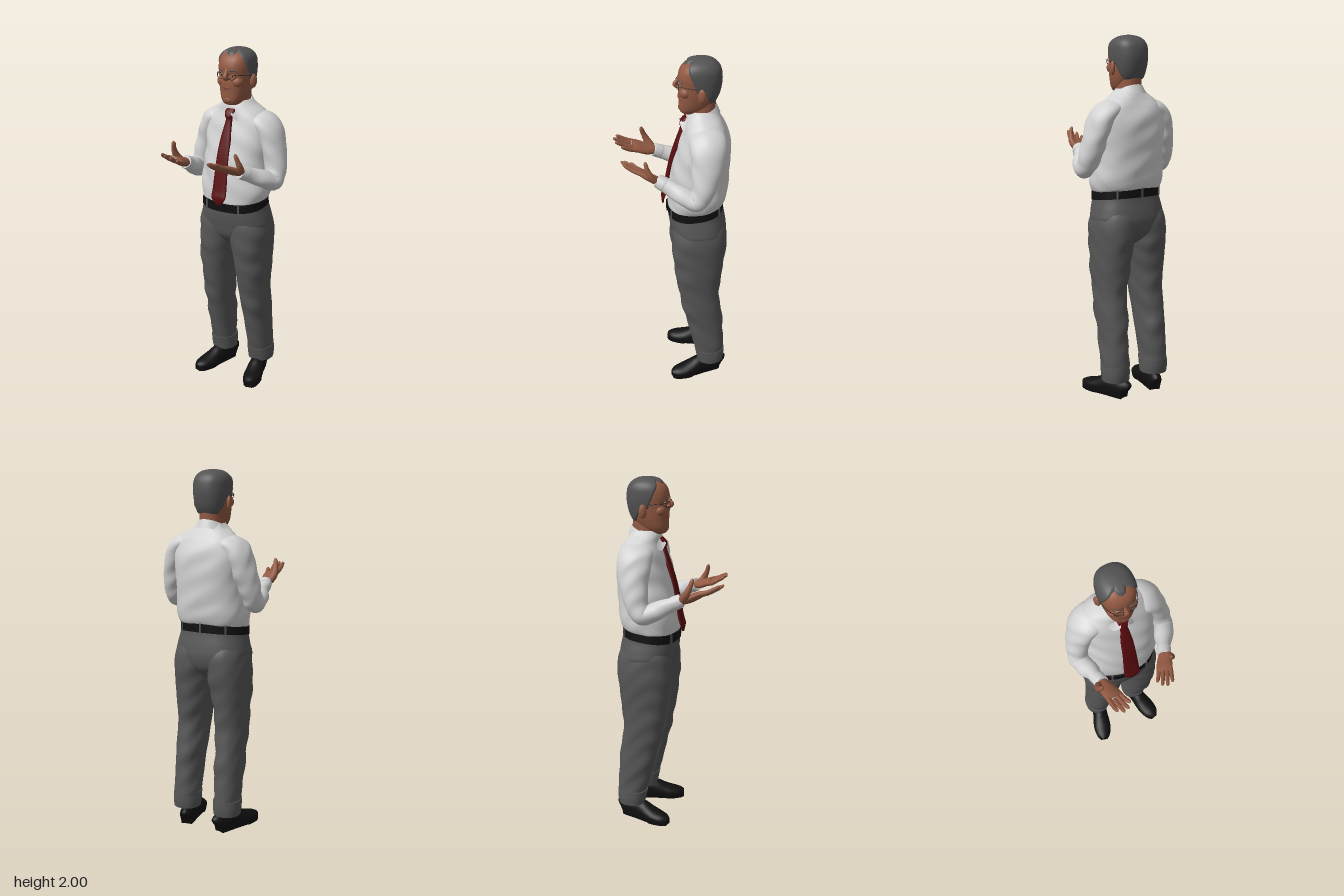
import * as THREE from 'three';

const mat = (name, color) => {
  const m = new THREE.MeshStandardMaterial({ color });
  m.name = name;
  return m;
};
const skin = mat('skin', 0x935a43), lipTone = mat('lips', 0x7a4437), white = mat('shirt white', 0xd2d2d2);
const grey = mat('trouser grey', 0x565656), hairGrey = mat('hair grey', 0x535353), red = mat('tie red', 0x590b0e);
const black = mat('leather black', 0x101010), frame = mat('glasses frame', 0x2a2320);
const eyeWhite = mat('eye white', 0x9c8d82), silver = mat('silver', 0xb4b4b4);
white.side = THREE.DoubleSide; // the collar is open cloth
const CX = -0.008; // the body's centre line

function add(parent, name, geometry, material, pos = [0, 0, 0], scale = [1, 1, 1]) {
  const m = new THREE.Mesh(geometry, material);
  m.name = name;
  m.position.set(...pos);
  m.scale.set(...scale);
  parent.add(m);
  return m;
}

// Catmull-Rom through rows of numbers, k steps per span
function smooth(rows, k) {
  const out = [], at = i => rows[Math.max(0, Math.min(rows.length - 1, i))];
  for (let i = 0; i < rows.length - 1; i++) for (let s = 0; s < k; s++) {
    const t = s / k;
    out.push(rows[i].map((b, n) => {
      const a = at(i - 1)[n], c = at(i + 1)[n], d = at(i + 2)[n];
      return b + 0.5 * t * (c - a + t * (2 * a - 5 * b + 4 * c - d + t * (3 * (b - c) + d - a)));
    }));
  }
  out.push(rows[rows.length - 1]);
  return out;
}

// Skin closed rings of points and cap both ends
function loft(rings, shape) {
  const n = rings[0].length, pos = [], idx = [];
  if (shape) rings.forEach(r => r.forEach(shape));
  const push = r => r.forEach(p => pos.push(p.x, p.y, p.z));
  rings.forEach(push);
  for (let j = 0; j < rings.length - 1; j++) for (let i = 0; i < n; i++) {
    const a = j * n + i, b = j * n + (i + 1) % n;
    idx.push(a, b, b + n, a, b + n, a + n);
  }
  [rings[0], rings[rings.length - 1]].forEach((r, end) => {
    const base = pos.length / 3;
    push(r);
    push([r.reduce((s, p) => s.add(p), new THREE.Vector3()).divideScalar(n)]);
    for (let i = 0; i < n; i++) {
      const a = base + i, b = base + (i + 1) % n;
      idx.push(base + n, end ? a : b, end ? b : a);
    }
  });
  const g = new THREE.BufferGeometry();
  g.setAttribute('position', new THREE.Float32BufferAttribute(pos, 3));
  g.setIndex(idx);
  g.computeVertexNormals();
  return g;
}

// Level sections, bottom to top: [y, xMin, xMax, zBack, zFront]
function stack(rows, { power = 2.2, seg = 40, k = 5, shape } = {}) {
  const bend = v => Math.sign(v) * Math.abs(v) ** (2 / power);
  return loft(smooth(rows, k).map(([y, x0, x1, z0, z1]) => Array.from({ length: seg }, (_, i) => {
    const a = i / seg * Math.PI * 2;
    return new THREE.Vector3((x0 + x1) / 2 + (x1 - x0) / 2 * bend(Math.sin(a)), y,
      (z0 + z1) / 2 + (z1 - z0) / 2 * bend(Math.cos(a)));
  })), shape);
}

// Oval tube along a path: [x, y, z, half width, half thickness]
function limb(rows, { hint = [1, 0, 0], seg = 16, k = 4, shape } = {}) {
  const pts = smooth(rows.map(r => [r[0], r[1], r[2], r[3], r[4] ?? r[3]]), k);
  const v = i => new THREE.Vector3(...pts[Math.max(0, Math.min(pts.length - 1, i))].slice(0, 3));
  return loft(pts.map((p, j) => {
    const T = v(j + 1).sub(v(j - 1)).normalize(), S = new THREE.Vector3(...hint);
    S.addScaledVector(T, -S.dot(T)).normalize();
    const N = T.clone().cross(S);
    return Array.from({ length: seg }, (_, i) => {
      const a = i / seg * Math.PI * 2;
      return v(j).addScaledVector(S, Math.cos(a) * p[3]).addScaledVector(N, Math.sin(a) * p[4]);
    });
  }), shape);
}

// Soft cloth folds
const folds = amp => p => {
  const f = Math.sin(p.y * 38 + p.x * 23 + 2 * Math.sin(p.z * 17)) * Math.sin(p.y * 13 - p.z * 21);
  p.x += amp * f * Math.sign(p.x);
  p.z += amp * f;
};
// The waistline drops towards the front
const tilt = (p, amount = 1) => { p.y -= 0.117 * (p.z + 0.13) * THREE.MathUtils.clamp(amount, 0, 1); };

const headRows = [[1.695, -.04, .024, -.13, -.06], [1.705, -.056, .04, -.155, -.045], [1.73, -.073, .057, -.19, -.037],
  [1.77, -.086, .07, -.225, -.036], [1.81, -.093, .077, -.245, -.034], [1.86, -.098, .082, -.256, -.036],
  [1.9, -.1, .084, -.258, -.032], [1.94, -.097, .081, -.252, -.043], [1.968, -.082, .066, -.233, -.067],
  [1.986, -.054, .038, -.203, -.1], [1.993, -.018, .002, -.165, -.14]];

// Hairline height by angle from the front, in radians
const hairline = [[0, 1.964], [.2, 1.968], [.45, 1.981], [.65, 1.976], [.9, 1.935], [1.1, 1.89], [1.3, 1.835], [1.5, 1.835],
  [1.7, 1.85], [1.95, 1.8], [2.3, 1.765], [3.2, 1.755]];
function hairShape(p) {
  const a = Math.abs(Math.atan2(p.x - CX, p.z + .15));
  const i = hairline.findIndex(h => h[0] > a), [a0, y0] = hairline[i - 1], [a1, y1] = hairline[i];
  const h = y0 + (y1 - y0) * (a - a0) / (a1 - a0);
  const d = THREE.MathUtils.clamp((p.y - h) / .01, -1, 1) * .007;
  p.add(new THREE.Vector3(p.x - CX, p.y - 1.87, p.z + .15).normalize().multiplyScalar(d));
}

function makeHead() {
  const g = new THREE.Group();
  g.name = 'head';
  const ball = new THREE.SphereGeometry(1, 20, 14);
  add(g, 'face', stack(headRows, { seg: 64, power: 2.4 }), skin);
  add(g, 'hair', stack(headRows, { seg: 96, k: 9, power: 2.4, shape: hairShape }), hairGrey);
  add(g, 'neck', stack([[1.6, -.08, .064, -.23, -.085], [1.7, -.073, .057, -.232, -.085], [1.78, -.07, .054, -.235, -.1]]), skin);
  add(g, 'nose', limb([[CX, 1.895, -.038, .008], [CX, 1.875, -.027, .01], [CX, 1.857, -.018, .015, .014], [CX, 1.843, -.025, .014, .009], [CX, 1.838, -.034, .008, .006]]), skin);
  add(g, 'upperLip', limb([[CX - .03, 1.791, -.039, .002], [CX, 1.794, -.034, .0035], [CX + .03, 1.791, -.039, .002]], { hint: [0, 1, 0] }), lipTone);
  add(g, 'lowerLip', limb([[CX - .024, 1.787, -.038, .002], [CX, 1.785, -.034, .004], [CX + .024, 1.787, -.038, .002]], { hint: [0, 1, 0] }), lipTone);
  add(g, 'chin', ball, skin, [CX, 1.727, -.055], [.034, .022, .021]);
  add(g, 'glassesBridge', limb([[CX - .015, 1.866, -.024, .002], [CX, 1.87, -.017, .002], [CX + .015, 1.866, -.024, .002]], { hint: [0, 1, 0], seg: 6 }), frame);
  for (const s of [-1, 1]) {
    const x = v => CX + s * v;
    add(g, 'nostril', ball, skin, [x(.014), 1.847, -.032], [.008, .007, .01]);
    add(g, 'cheek', ball, skin, [x(.045), 1.825, -.071], [.034, .032, .033]);
    add(g, 'eye', ball, eyeWhite, [x(.036), 1.861, -.041], [.011, .0045, .006]);
    add(g, 'pupil', ball, black, [x(.036), 1.861, -.0375], [.0042, .0042, .004]);
    add(g, 'eyelid', ball, skin, [x(.036), 1.868, -.042], [.015, .006, .009]);
    add(g, 'eyebrow', limb([[x(.016), 1.884, -.034, .002], [x(.038), 1.889, -.036, .0035], [x(.06), 1.883, -.05, .002]], { hint: [0, 1, 0], seg: 8 }), hairGrey);
    add(g, 'ear', ball, skin, [x(.1), 1.825, -.15], [.013, .038, .022]).rotation.y = -s * .4;
    add(g, 'glassesRim', new THREE.TorusGeometry(.023, .0018, 8, 28), frame, [x(.037), 1.859, -.027], [1, .75, 1]).rotation.y = s * .28;
    add(g, 'glassesTemple', limb([[x(.059), 1.866, -.033, .002], [x(.083), 1.865, -.072, .002], [x(.099), 1.855, -.15, .002]], { hint: [0, 1, 0], seg: 6 }), frame);
  }
  return g;
}

// Open palm facing up; s is the side the thumb is on
function makeHand(s) {
  const g = new THREE.Group();
  g.name = s > 0 ? 'leftHand' : 'rightHand';
  add(g, 'palm', limb([[0, 0, -.04, .025, .021], [0, 0, 0, .026, .02], [0, -.003, .04, .037, .019], [0, 0, .085, .04, .016], [0, .002, .108, .034, .01]]), skin);
  [[.029, .098], [.01, .115], [-.01, .107], [-.029, .08]].forEach(([x, len], i) => {
    const fx = s * x, tip = s * x * 1.25, z = .088;
    add(g, 'finger', limb([[fx, 0, z, .0108], [fx + (tip - fx) * .4, -.002, z + len * .45, .0102],
      [tip, .004, z + len * .88, .0082], [tip, .007, z + len, .003]], { seg: 10 }), skin);
    if (s < 0 && i === 1) add(g, 'ring', new THREE.TorusGeometry(.0112, .0022, 8, 20), silver, [fx * 1.06, -.001, z + .025]);
  });
  add(g, 'thumb', limb([[s * .02, 0, .01, .018], [s * .04, .015, .036, .0165], [s * .05, .04, .062, .0118],
    [s * .053, .062, .08, .0095], [s * .053, .072, .086, .003]], { seg: 12 }), skin);
  return g;
}

function makeArm(s, wrist, yaw, size) {
  const g = new THREE.Group();
  g.name = s > 0 ? 'leftArm' : 'rightArm';
  const elbow = [s * .25, 1.288, -.105], hint = [s, 1, 0];
  const fore = (t, w) => [...elbow.map((e, i) => e + (wrist[i] - e) * t), w];
  add(g, 'sleeve', limb([[s * .08, 1.605, -.18, .045, .08], [s * .145, 1.597, -.18, .06, .096], [s * .19, 1.55, -.178, .066, .095], [s * .216, 1.47, -.172, .063, .084],
    [s * .235, 1.39, -.16, .06, .07], [s * .248, 1.325, -.138, .057, .06], [...elbow, .053, .053],
    fore(.35, .049), fore(.7, .041), fore(1, .035)], { hint, seg: 32, k: 8, shape: folds(.004) }), white);
  add(g, 'cuff', limb([fore(.8, .036), fore(.82, .04), fore(1, .037), fore(1.02, .034)], { hint, seg: 24 }), white);
  const hand = makeHand(s);
  hand.position.set(...wrist);
  hand.rotation.set(-.34, yaw, s * .3, 'YXZ');
  hand.scale.setScalar(size);
  g.add(hand);
  return g;
}

// Folded collar, open at the front, with two points
function makeCollar() {
  const g = new THREE.PlaneGeometry(1, 1, 60, 3), p = g.attributes.position;
  for (let i = 0; i < p.count; i++) {
    const a = Math.PI + p.getX(i) * 2 * (Math.PI - .2), d = .5 - p.getY(i), f = Math.min(a, 2 * Math.PI - a);
    const top = 1.705 - .034 * Math.cos(a), flare = .027 + .008 * Math.cos(a);
    const drop = f < .55 ? .025 + .045 * (f - .2) / .35 : .045 + .025 * Math.max(0, 1 - (f - .55) / .8);
    p.setXYZ(i, CX + Math.sin(a) * (.074 + flare * d), top - drop * d, -.157 + Math.cos(a) * (.083 + flare * d));
  }
  g.computeVertexNormals();
  return g;
}

function makeLeg(s) {
  const g = new THREE.Group();
  g.name = s > 0 ? 'leftLeg' : 'rightLeg';
  const side = ([y, a, b, z0, z1]) => s > 0 ? [y, a + CX, b + CX, z0, z1] : [y, CX - b, CX - a, z0, z1];
  add(g, 'trouserLeg', stack([[.11, .062, .2, -.3, -.15], [.2, .06, .203, -.305, -.13], [.3, .057, .203, -.3, -.105], [.4, .053, .204, -.293, -.08],
    [.5, .047, .206, -.28, -.055], [.6, .038, .207, -.268, -.036], [.7, .028, .21, -.278, -.018], [.8, .014, .215, -.29, -.004],
    [.88, -.004, .218, -.3, .002], [.96, -.02, .217, -.305, .004], [1.03, -.03, .205, -.295, 0], [1.09, -.03, .18, -.265, -.015]].map(side), { shape: folds(.004) }), grey);
  add(g, 'trouserCuff', stack([[.1, .058, .206, -.302, -.148], [.14, .056, .209, -.308, -.14], [.185, .057, .207, -.308, -.13]].map(side)), grey);
  const shoe = add(g, 'shoe', limb([[0, .045, -.155, .024, .044], [0, .052, -.14, .038, .056], [0, .055, -.08, .044, .062], [0, .054, -.02, .047, .06], [0, .042, .03, .053, .048],
    [0, .033, .08, .055, .038], [0, .027, .13, .044, .031], [0, .024, .16, .02, .02]],
  { seg: 28, shape: p => { p.y = p.y < .02 ? 0 : p.y; } }), black, [CX + s * .145, 0, -.145]);
  shoe.rotation.y = s * .27;
  return g;
}

export function createModel() {
  const model = new THREE.Group();
  model.name = 'standingMan';
  model.add(makeHead());
  add(model, 'shirt', stack([[1.15, -.185, .172, -.275, .01], [1.166, -.202, .189, -.293, .02], [1.22, -.212, .2, -.306, .02],
    [1.3, -.205, .196, -.312, .014], [1.39, -.2, .194, -.317, 0], [1.48, -.203, .196, -.32, -.024], [1.56, -.207, .2, -.311, -.046],
    [1.62, -.186, .178, -.29, -.066], [1.66, -.148, .138, -.268, -.078], [1.69, -.105, .093, -.25, -.084], [1.715, -.08, .066, -.236, -.095]],
  { seg: 56, k: 7, power: 2.35, shape: p => { folds(.004)(p); tilt(p, (1.3 - p.y) / .13); } }), white);
  add(model, 'collar', makeCollar(), white);
  add(model, 'tie', stack([[1.145, -.022, .006, .045, .055], [1.185, -.054, .036, .042, .058], [1.235, -.053, .035, .026, .046],
    [1.395, -.047, .029, 0, .016], [1.5, -.042, .024, -.035, -.012], [1.61, -.027, .011, -.08, -.046],
    [1.628, -.029, .012, -.085, -.041], [1.655, -.039, .023, -.1, -.051], [1.672, -.034, .018, -.105, -.068]], { power: 3 }), red);

  add(model, 'trouserSeat', stack([[.85, -.022, .006, -.19, -.1], [.89, -.07, .054, -.255, -.05], [.94, -.17, .155, -.295, -.008], [1, -.216, .202, -.308, .008], [1.05, -.212, .198, -.302, .016],
    [1.1, -.199, .185, -.29, .019], [1.14, -.192, .177, -.284, .017]], { power: 2.4, seg: 48, shape: p => tilt(p, (p.y - 1.02) / .1) }), grey);
  add(model, 'belt', stack([[1.114, -.2, .184, -.288, .024], [1.164, -.197, .182, -.288, .024]], { power: 2.4, seg: 56, k: 1, shape: p => tilt(p) }), black);
  add(model, 'beltBuckle', new THREE.BoxGeometry(.055, .044, .008), black, [CX, 1.124, .027]);
  for (const a of [.5, -.5, 2.4, -2.4, Math.PI]) { // belt loops
    const bend = v => Math.sign(v) * Math.abs(v) ** (2 / 2.4), z = -.132 + .157 * bend(Math.cos(a));
    add(model, 'beltLoop', new THREE.BoxGeometry(.01, .054, .008), grey, [CX + .193 * bend(Math.sin(a)), 1.139 - .117 * (z + .13), z]).rotation.y = a;
  }
  model.add(makeLeg(1), makeLeg(-1));
  model.add(makeArm(1, [.158, 1.375, .085], -.42, 1.1), makeArm(-1, [-.205, 1.375, .088], .18, 1.22));
  return model;
}
